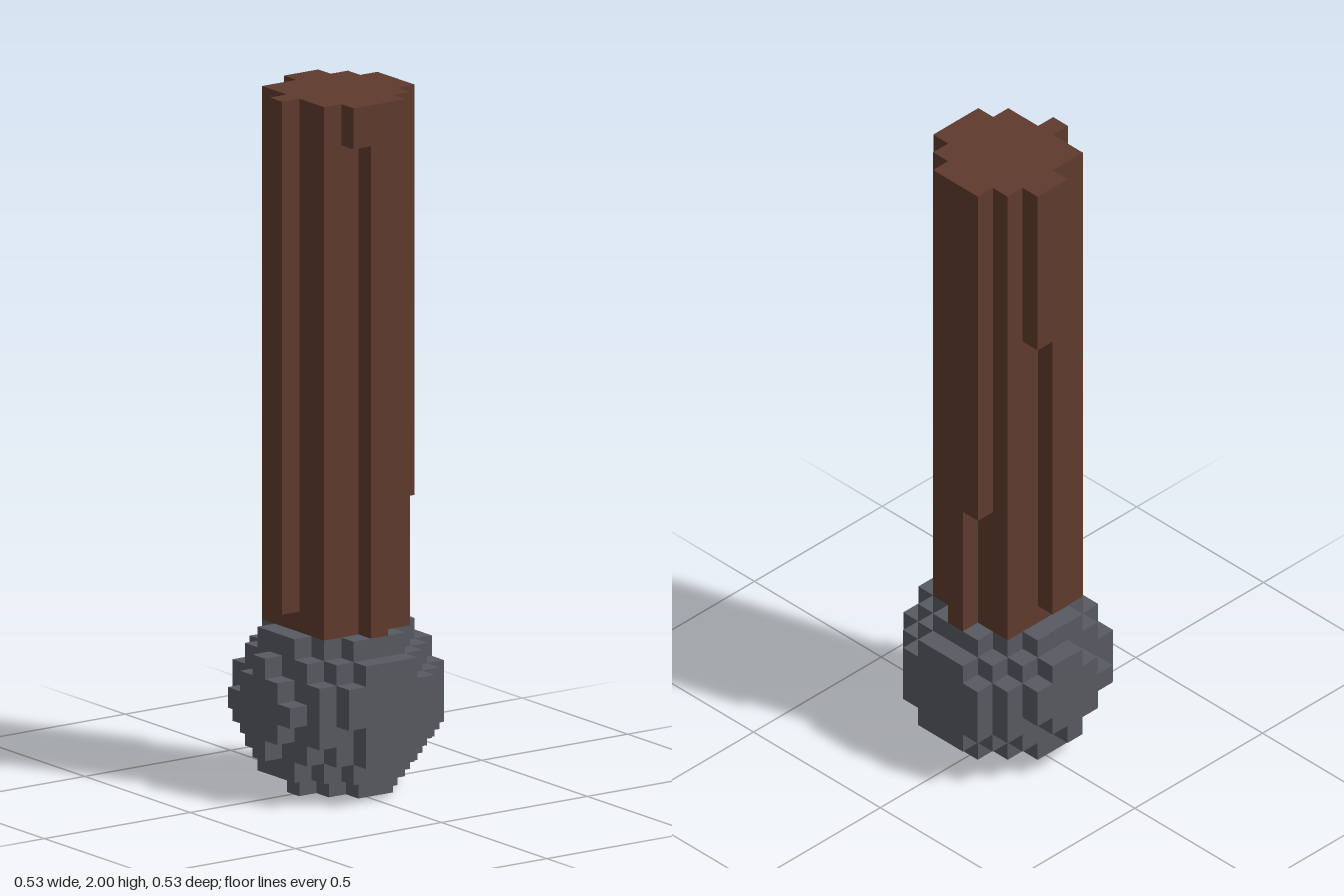
import * as THREE from 'three';
import { mergeGeometries } from 'three/addons/utils/BufferGeometryUtils.js';

const U = 2 / 34; // edge of one cube; the model is 34 cubes tall

// First layer of the handle's ragged outer columns, keyed by "x,z"
const columnStart = {
  '3,0': 8, '0,-3': 8, '-3,0': 9, '0,3': 9,
  '3,1': 32, '3,-1': 23, '-3,-1': 25, '1,-3': 14, '-1,-3': 15,
};

function inHandle(x, y, z) {
  if (y < 8 || y > 33) return false;
  if (x * x + z * z <= 8) return true;
  const start = columnStart[`${x},${z}`];
  return start !== undefined && y >= start;
}

// Round head centred on layer 4, a little fuller toward one side
function inHead(x, y, z) {
  if (y < 0 || y > 7) return false;
  const h = y - 4;
  const d = x * x + h * h + z * z;
  return d < 21 || (d === 21 && -2 * x - 2 * h + 4 * z <= 1);
}

const solid = (x, y, z) => inHandle(x, y, z) || inHead(x, y, z);

// The six directions of a cube, each with the turn that points a plane that way
const sides = [
  [1, 0, 0, 0, Math.PI / 2], [-1, 0, 0, 0, -Math.PI / 2],
  [0, 1, 0, -Math.PI / 2, 0], [0, -1, 0, Math.PI / 2, 0],
  [0, 0, 1, 0, 0], [0, 0, -1, 0, Math.PI],
];

// Exposed cube faces of one part
function cubes(inside) {
  const faces = [];
  for (let y = 0; y < 34; y++)
    for (let x = -4; x <= 4; x++)
      for (let z = -4; z <= 4; z++) {
        if (!inside(x, y, z)) continue;
        for (const [dx, dy, dz, rx, ry] of sides) {
          if (solid(x + dx, y + dy, z + dz)) continue;
          const face = new THREE.PlaneGeometry(U, U);
          face.rotateX(rx);
          face.rotateY(ry);
          face.translate((x + dx / 2) * U, (y + 0.5 + dy / 2) * U, (z + dz / 2) * U);
          faces.push(face);
        }
      }
  return mergeGeometries(faces);
}

export function createModel() {
  const wood = new THREE.MeshStandardMaterial({ name: 'brownWood', color: 0x5e3a2d });
  const stone = new THREE.MeshStandardMaterial({ name: 'greyStone', color: 0x575a61 });

  const handle = new THREE.Mesh(cubes(inHandle), wood);
  handle.name = 'handle';
  const head = new THREE.Mesh(cubes(inHead), stone);
  head.name = 'roundHead';

  const group = new THREE.Group();
  group.name = 'cubeMace';
  group.add(handle, head);
  return group;
}
